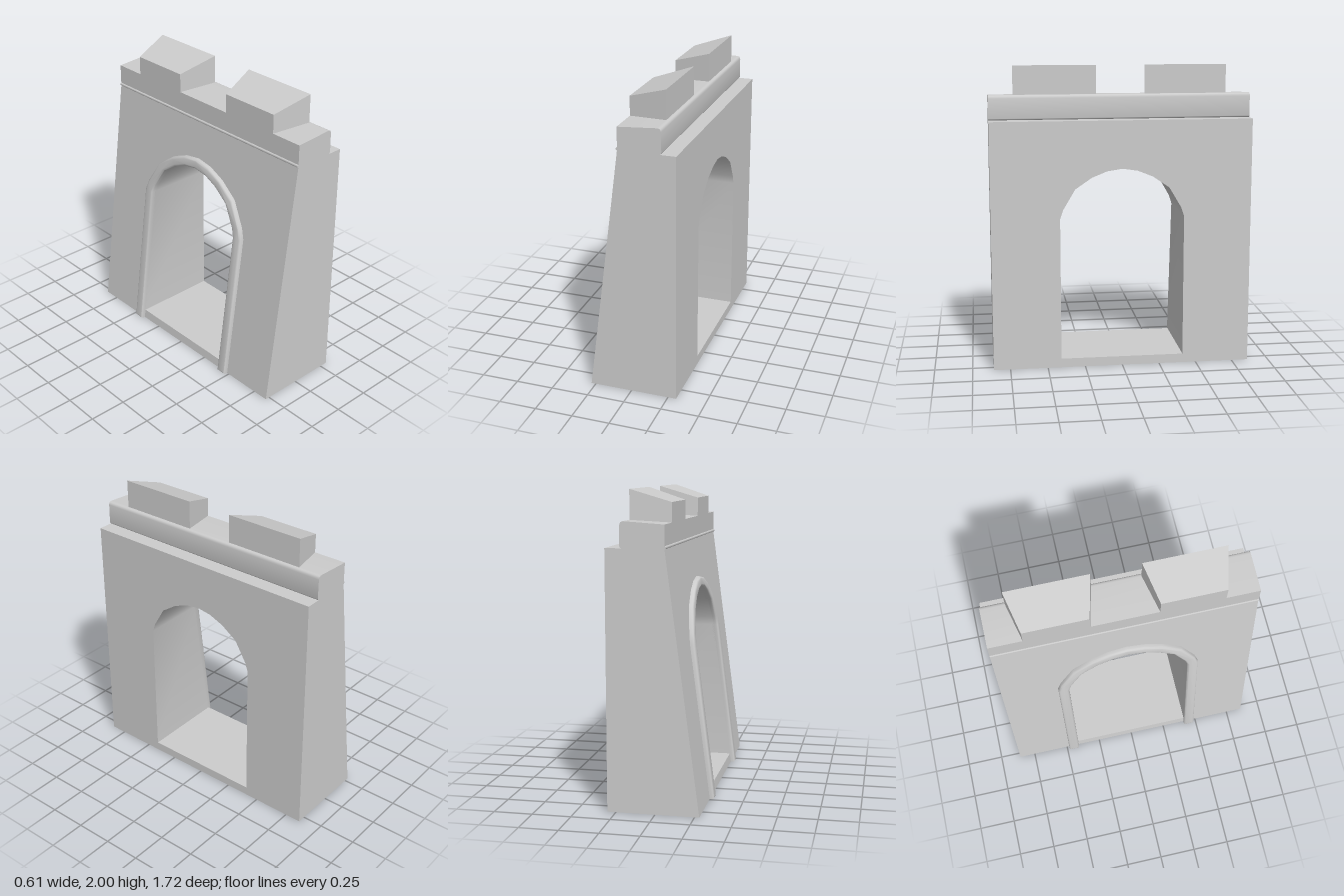
import * as THREE from 'three';
import { toCreasedNormals } from 'three/addons/utils/BufferGeometryUtils.js';

const HALF = 0.86, FRONT = 0.305, WALL_TOP = 1.65;
// x of the leaning face at height y
const lean = (y) => -0.28 + 0.1303 * y;

// half of the arch head, from springing to crown: [across, up]
const ARCH = [[0.41, 1.01], [0.39, 1.07], [0.31, 1.205], [0.2, 1.28], [0.1, 1.32], [0, 1.335]];

// full arch outline from one foot over the crown to the other foot
function archOutline(foot, sx = 1, sy = 1) {
  const half = ARCH.map(([s, y]) => new THREE.Vector2(s * sx, 1 + (y - 1) * sy));
  half.unshift(new THREE.Vector2(ARCH[0][0] * sx, foot));
  const other = half.slice(0, -1).reverse().map((p) => new THREE.Vector2(-p.x, p.y));
  return [...half, ...other];
}

// turn an extrusion (across, up, depth) into the model frame, with x set by a rule
function place(geometry, xRule) {
  const p = geometry.attributes.position;
  for (let i = 0; i < p.count; i++) {
    const s = p.getX(i), y = p.getY(i), d = p.getZ(i);
    p.setXYZ(i, xRule(y, d), y, -s);
  }
  geometry.computeVertexNormals();
  return geometry;
}

// drop the triangles lying on the ground, leaving the shell open below
function openBottom(geometry) {
  const a = geometry.attributes.position.array, kept = [];
  for (let i = 0; i < a.length; i += 9) {
    if (Math.max(a[i + 1], a[i + 4], a[i + 7]) > 1e-4) kept.push(...a.slice(i, i + 9));
  }
  const out = new THREE.BufferGeometry();
  out.setAttribute('position', new THREE.Float32BufferAttribute(kept, 3));
  return out;
}

export function createModel() {
  const group = new THREE.Group();
  const material = new THREE.MeshStandardMaterial({ color: 0xcccccc });
  const shellMaterial = new THREE.MeshStandardMaterial({ color: 0xcccccc, side: THREE.DoubleSide });
  const add = (name, geometry, mat = material) => {
    const mesh = new THREE.Mesh(geometry, mat);
    mesh.name = name;
    group.add(mesh);
    return mesh;
  };

  // leaning wall with the arched passage
  const wall = new THREE.Shape([
    new THREE.Vector2(-HALF, 0), new THREE.Vector2(HALF, 0),
    new THREE.Vector2(HALF, WALL_TOP), new THREE.Vector2(-HALF, WALL_TOP),
  ]);
  wall.holes.push(new THREE.Path(archOutline(0.06)));
  const wallGeometry = place(
    new THREE.ExtrudeGeometry(wall, { depth: 1, bevelEnabled: false }),
    (y, d) => THREE.MathUtils.lerp(lean(y), FRONT, d));
  add('wall', toCreasedNormals(openBottom(wallGeometry), 0.7), shellMaterial);

  // rounded moulding around the arch on the leaning face
  const band = new THREE.Shape([...archOutline(0, 1.18, 1.195), ...archOutline(0).reverse()]);
  const bandGeometry = place(
    new THREE.ExtrudeGeometry(band, {
      depth: 0.03, bevelThickness: 0.015, bevelSize: 0.015, bevelOffset: -0.015, bevelSegments: 3,
    }),
    (y, d) => lean(y) - 0.016 + d);
  add('archMoulding', toCreasedNormals(bandGeometry, 0.7));

  // cornice with a softened outer edge
  const cornice = new THREE.Shape();
  cornice.moveTo(-0.065, 1.65);
  cornice.lineTo(0.2, 1.65);
  cornice.quadraticCurveTo(0.213, 1.65, 0.213, 1.67);
  cornice.lineTo(0.211, 1.79);
  cornice.quadraticCurveTo(0.21, 1.813, 0.185, 1.812);
  cornice.lineTo(-0.065, 1.795);
  const corniceGeometry = new THREE.ExtrudeGeometry(cornice, {
    depth: 2 * HALF, bevelEnabled: false, curveSegments: 4,
  });
  corniceGeometry.translate(0, 0, -HALF);
  add('cornice', toCreasedNormals(corniceGeometry, 0.6));

  // thin bead under the cornice on the leaning side
  const bead = add('corniceBead', new THREE.CylinderGeometry(0.01, 0.01, 2 * HALF, 8));
  bead.rotation.x = Math.PI / 2;
  bead.position.set(-0.064, 1.656, 0);

  // two merlons, wider and taller toward the front
  for (const side of [-1, 1]) {
    const g = new THREE.BoxGeometry(1, 1, 1);
    const p = g.attributes.position;
    for (let i = 0; i < p.count; i++) {
      const outer = p.getX(i) > 0;
      const top = outer ? 2.0 : 1.92;
      const halfWidth = outer ? 0.27 : 0.21;
      p.setXYZ(i, outer ? 0.188 : -0.065, p.getY(i) > 0 ? top : 1.78,
        side * 0.43 + Math.sign(p.getZ(i)) * halfWidth);
    }
    g.computeVertexNormals();
    add(side > 0 ? 'frontMerlon' : 'backMerlon', g);
  }
  return group;
}
